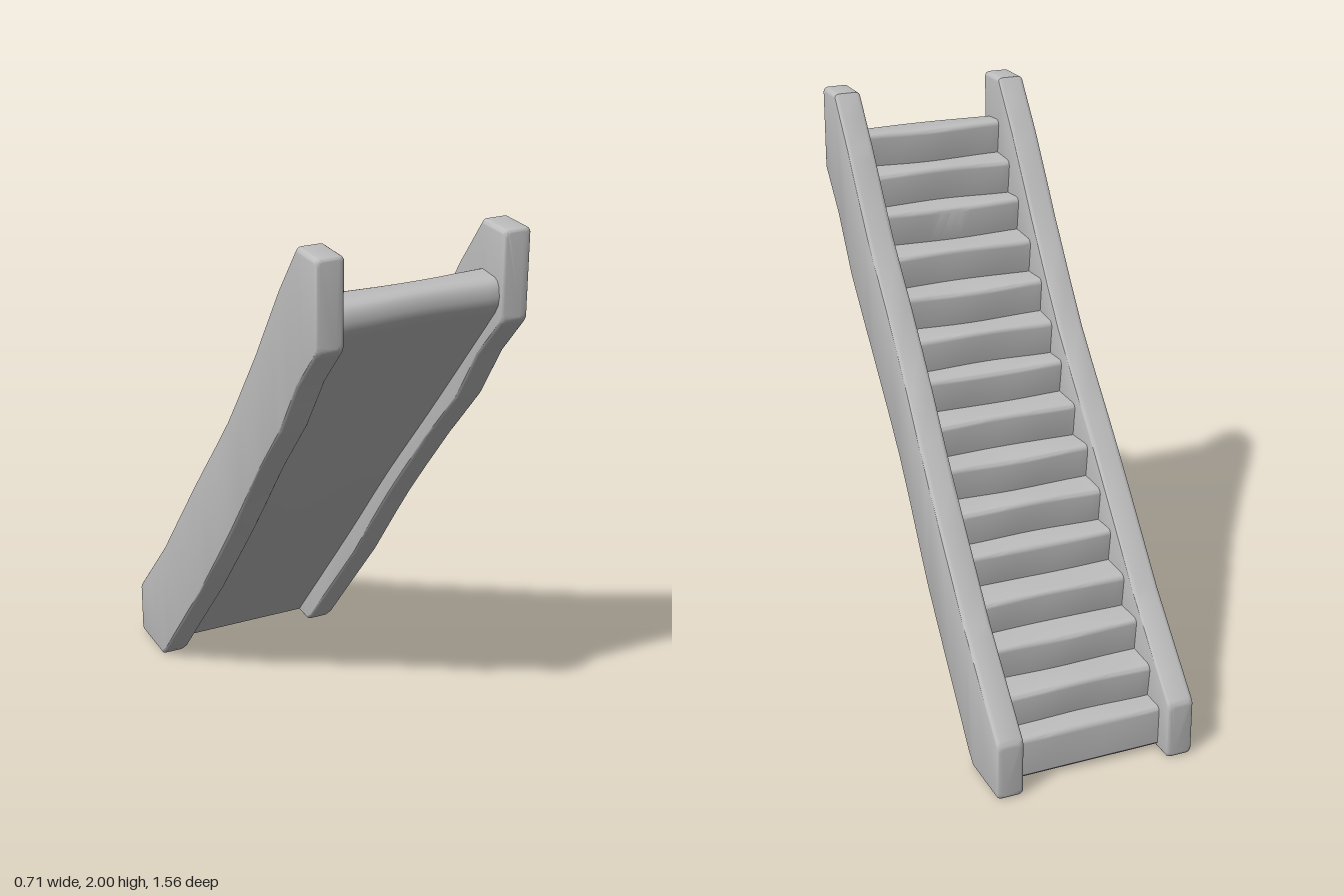
import * as THREE from 'three';
import { toCreasedNormals } from 'three/addons/utils/BufferGeometryUtils.js';

const stone = new THREE.MeshStandardMaterial({ color: 0xbebebe });
stone.name = 'grey stone';

// Rail outlines as [z, y], from the low end to the high end
const railTop = [[-0.78, 0.2], [-0.5, 0.5], [-0.2, 0.87], [0.1, 1.24], [0.35, 1.57], [0.53, 1.84], [0.65, 2], [0.78, 2]];
const railBottom = [[-0.78, 0], [-0.57, 0], [-0.535, 0.03], [-0.17, 0.46], [0.1, 0.82], [0.35, 1.15], [0.53, 1.37], [0.65, 1.56], [0.78, 1.71]];

function heightAt(line, z) {
  for (let i = 1; i < line.length; i++) {
    const [z0, y0] = line[i - 1], [z1, y1] = line[i];
    if (z <= z1 + 1e-6) return y0 + (y1 - y0) * (z - z0) / (z1 - z0);
  }
  return line[line.length - 1][1];
}

// Rounded rectangle cross-section, counter-clockwise
function ring(cx, halfWidth, bottom, top, z, inset) {
  const r = 0.016, points = [];
  const w = halfWidth - inset - r, lo = bottom + inset + r, hi = top - inset - r;
  [[w, lo], [w, hi], [-w, hi], [-w, lo]].forEach(([x, y], corner) => {
    for (let k = 0; k <= 4; k++) {
      const a = (corner - 1 + k / 4) * Math.PI / 2;
      points.push([cx + x + r * Math.cos(a), y + r * Math.sin(a), z]);
    }
  });
  return points;
}

// Side rail lofted through vertical sections, pinched a little near the middle
function makeRail(side) {
  const zMin = -0.78, zMax = 0.78, bevel = 0.012;
  const stations = [];
  [...railTop, ...railBottom].forEach(([z]) => {
    if (z > zMin + bevel && z < zMax - bevel) stations.push(z);
  });
  for (let z = -0.7; z < 0.75; z += 0.1) stations.push(z);
  stations.sort((a, b) => a - b);
  const zs = stations.filter((z, i) => i === 0 || z - stations[i - 1] > 1e-4);
  const section = (z, inset) => {
    const pinch = 0.009 * Math.exp(-(((z - 0.1) / 0.2) ** 2));
    // the left rail is slightly shallower along its middle
    const t = THREE.MathUtils.clamp((z + 0.55) / 1.08, 0, 1);
    const lift = side > 0 ? 0.022 * Math.sin(Math.PI * t) : 0;
    return ring(side * (0.308 - pinch), 0.047, heightAt(railBottom, z) + lift, heightAt(railTop, z), z, inset);
  };
  const lowEnd = [], highEnd = [];
  for (let k = 0; k <= 4; k++) {
    const a = k * Math.PI / 8;
    const inset = bevel * (1 - Math.sin(a)), offset = bevel * (1 - Math.cos(a));
    lowEnd.push(section(zMin + offset, inset));
    highEnd.unshift(section(zMax - offset, inset));
  }
  const rings = [...lowEnd, ...zs.map((z) => section(z, 0)), ...highEnd];
  const n = rings[0].length, last = (rings.length - 1) * n, index = [];
  for (let i = 0; i < rings.length - 1; i++) {
    for (let j = 0; j < n; j++) {
      const a = i * n + j, b = i * n + (j + 1) % n;
      index.push(a, b, b + n, a, b + n, a + n);
    }
  }
  for (let j = 1; j < n - 1; j++) {
    index.push(0, j + 1, j, last, last + j, last + j + 1);
  }
  const geometry = new THREE.BufferGeometry();
  geometry.setAttribute('position', new THREE.Float32BufferAttribute(rings.flat(2), 3));
  geometry.setIndex(index);
  return toCreasedNormals(geometry, 0.48);
}

// Flight of steps: one stepped profile with rounded nosings, run across x
function makeFlight() {
  const risers = [-0.715, -0.64, -0.535, -0.435, -0.325, -0.24, -0.14, -0.04, 0.07, 0.155, 0.25, 0.355, 0.465, 0.55, 0.645];
  const profile = [[-0.64, 0.012], [-0.7, 0.012], [-0.712, 0.024]];
  const r = 0.02;
  risers.forEach((z, i) => {
    const y = 0.165 + i * 0.12;
    if (i > 0) profile.push([z + 0.012, y - 0.12]);
    for (let k = 0; k <= 4; k++) {
      const a = k * Math.PI / 8;
      profile.push([z + r * (1 - Math.cos(a)), y - r * (1 - Math.sin(a))]);
    }
  });
  // rounded upper landing edge; the closing line is the sloping underside
  profile.push([0.735, 1.845], [0.752, 1.838], [0.763, 1.82], [0.766, 1.79], [0.762, 1.765], [0.745, 1.735]);
  const shape = new THREE.Shape(profile.map(([z, y]) => new THREE.Vector2(z, y)).reverse());
  const geometry = new THREE.ExtrudeGeometry(shape, { depth: 0.54, steps: 14, bevelEnabled: false });
  geometry.rotateY(-Math.PI / 2).translate(0.27, 0, 0);
  // worn, slightly uneven edges
  const p = geometry.attributes.position;
  for (let i = 0; i < p.count; i++) {
    const x = p.getX(i), y = p.getY(i), z = p.getZ(i);
    if (y < 0.05) continue;
    p.setY(i, y + 0.003 * Math.cos(x * 11) * Math.sin(z * 31 + 3));
    p.setZ(i, z + 0.001 * Math.sin(x * 17 + y * 13));
  }
  return toCreasedNormals(geometry, 0.7);
}

export function createModel() {
  const group = new THREE.Group();
  group.name = 'staircase';
  const add = (name, geometry) => {
    const mesh = new THREE.Mesh(geometry, stone);
    mesh.name = name;
    group.add(mesh);
  };
  add('leftRail', makeRail(1));
  add('rightRail', makeRail(-1));
  add('steps', makeFlight());
  return group;
}
